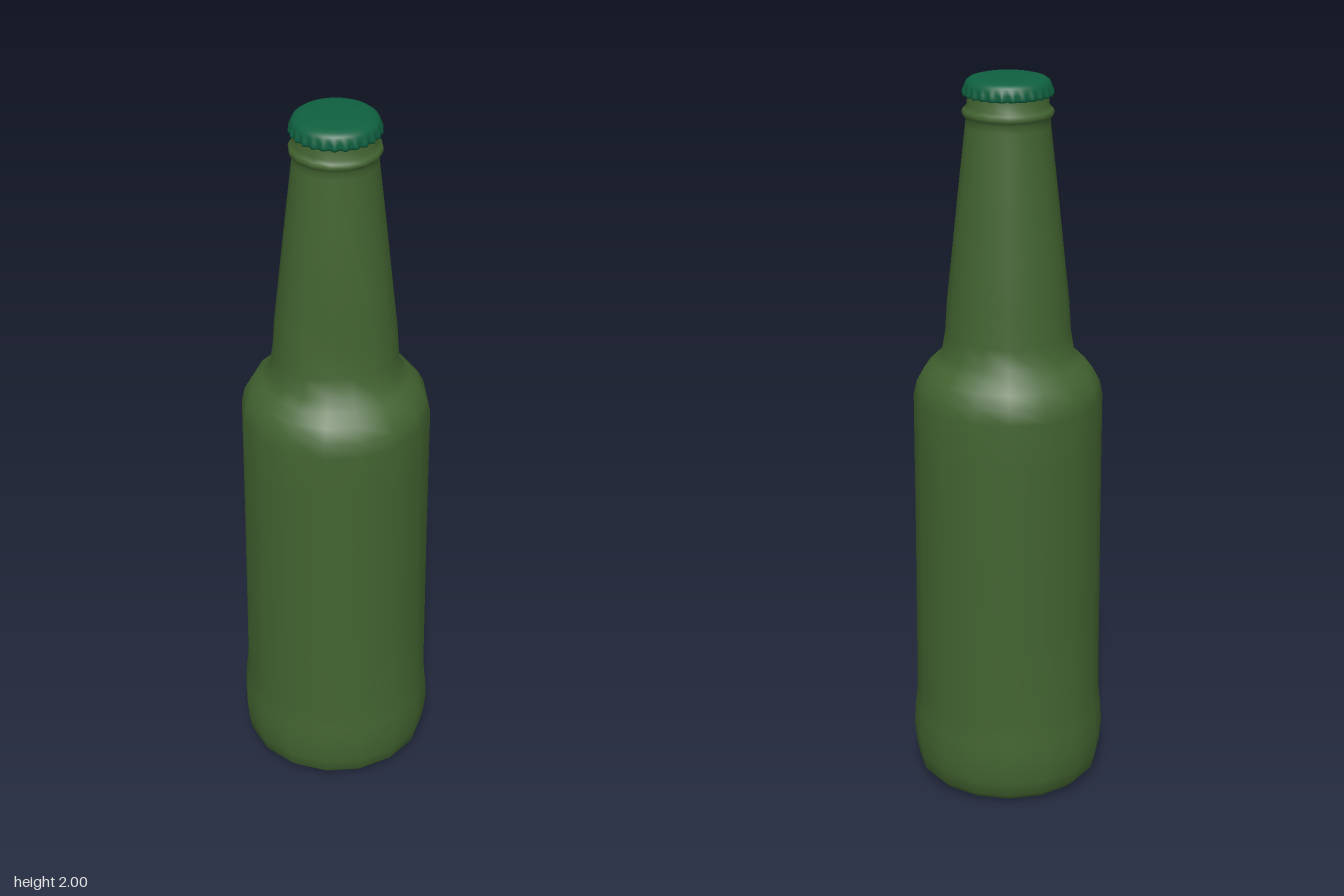
import * as THREE from 'three';
import { mergeVertices } from 'three/addons/utils/BufferGeometryUtils.js';

const glass = new THREE.MeshStandardMaterial({ name: 'green glass', color: 0x426330 });
const capGreen = new THREE.MeshStandardMaterial({ name: 'cap green', color: 0x0f6040, side: THREE.DoubleSide });

// Lathe whose points are moved by a rule (radius, y, angle) => new radius, then smoothed across the seam
function turned(profile, segments, rule) {
  const geo = new THREE.LatheGeometry(profile.map(([r, y]) => new THREE.Vector2(r, y)), segments);
  const p = geo.attributes.position;
  for (let i = 0; i < p.count; i++) {
    const r = Math.hypot(p.getX(i), p.getZ(i));
    const a = Math.atan2(p.getX(i), p.getZ(i));
    const s = rule(r, p.getY(i), a);
    p.setXYZ(i, s * Math.sin(a), p.getY(i), s * Math.cos(a));
  }
  geo.deleteAttribute('uv');
  geo.deleteAttribute('normal');
  const merged = mergeVertices(geo, 1e-5);
  merged.computeVertexNormals();
  return merged;
}

function part(name, geometry, material) {
  const mesh = new THREE.Mesh(geometry, material);
  mesh.name = name;
  return mesh;
}

export function createModel() {
  const model = new THREE.Group();
  model.name = 'bottle';

  // Glass: hollow base, straight body, shoulder, tapering neck and lip
  const bottleProfile = [
    [0, 0.045], [0.12, 0.04], [0.185, 0.022], [0.2, 0.002], [0.21, 0], [0.232, 0.008], [0.254, 0.03],
    [0.262, 0.07], [0.268, 0.13], [0.264, 0.19], [0.258, 0.25], [0.257, 0.5], [0.256, 0.75], [0.256, 1.0],
    [0.256, 1.13], [0.247, 1.17], [0.228, 1.205], [0.2, 1.232], [0.178, 1.256], [0.169, 1.31],
    [0.163, 1.4], [0.152, 1.5], [0.132, 1.69], [0.112, 1.87], [0.11, 1.89],
    [0.119, 1.898], [0.121, 1.907], [0.117, 1.915], [0.107, 1.922], [0.106, 1.95], [0.1, 1.97], [0, 1.97],
  ];
  // Shallow dent low on one side of the neck
  const dent = (r, y, a) => {
    const across = Math.max(0, 1 - Math.abs(a - 0.6) / 0.65);
    const along = Math.max(0, 1 - Math.abs(y - 1.36) / 0.18);
    return r - 0.03 * Math.min(1, across * 1.4) * along;
  };
  model.add(part('glassBottle', turned(bottleProfile, 16, dent), glass));

  // Crown cap: domed top with a crimped skirt
  const capProfile = [
    [0.107, 1.95], [0.115, 1.951], [0.116, 1.958], [0.115, 1.968], [0.113, 1.977],
    [0.109, 1.986], [0.1, 1.993], [0.085, 1.997], [0.05, 1.999], [0, 2],
  ];
  const crimp = (r, y, a) =>
    r > 0.11 && y < 1.975 ? r + 0.004 * Math.cos(a * 26) * Math.min(1, (1.98 - y) / 0.02) : r;
  model.add(part('crownCap', turned(capProfile, 26 * 6, crimp), capGreen));

  return model;
}
